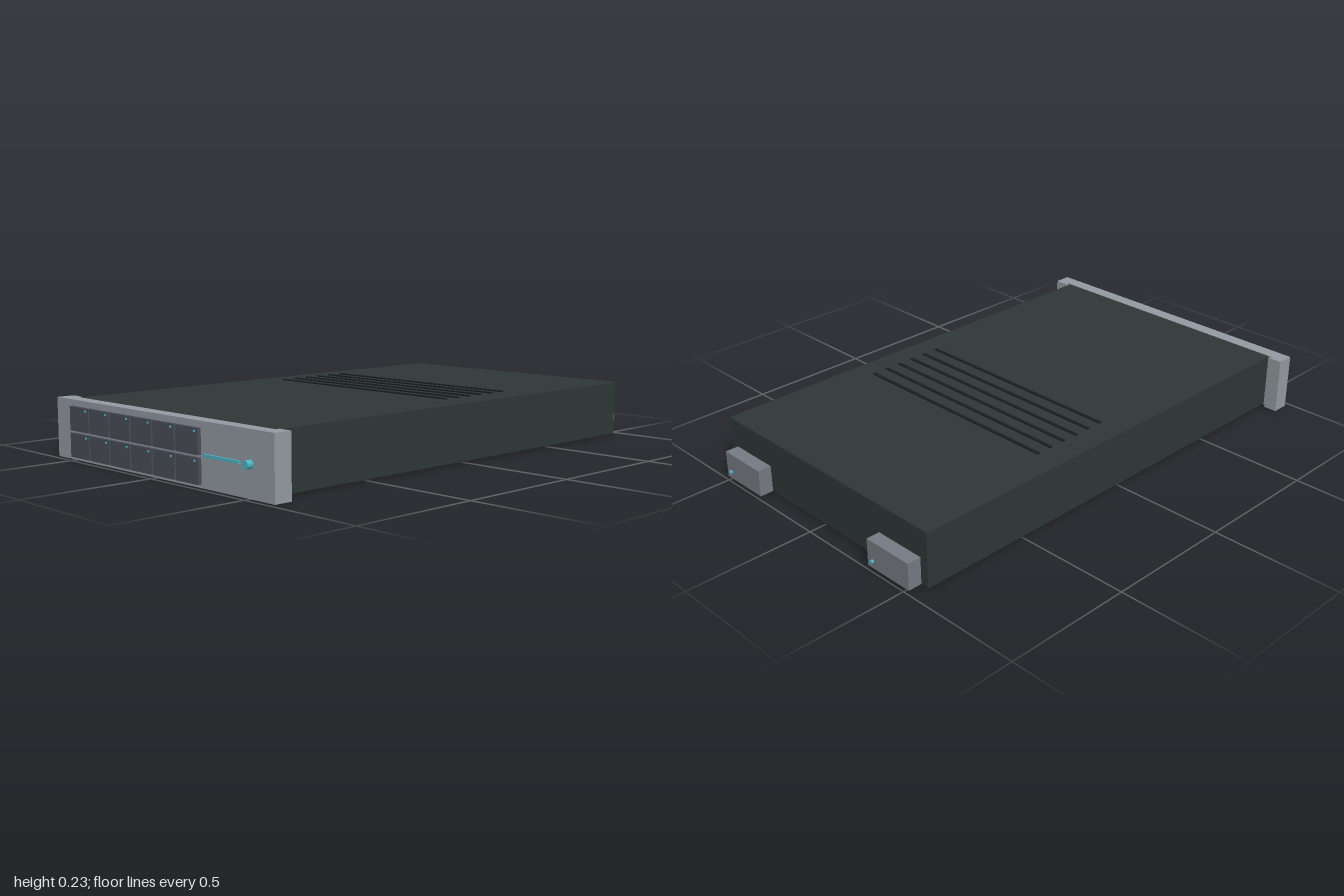
import * as THREE from 'three';
import { RoundedBoxGeometry } from 'three/addons/geometries/RoundedBoxGeometry.js';

const mat = (name, color) => {
  const m = new THREE.MeshStandardMaterial({ color });
  m.name = name;
  return m;
};

export function createModel() {
  const model = new THREE.Group();
  model.name = 'rackServer';

  const caseGreen = mat('dark case', 0x2e3736);
  const panelGrey = mat('panel grey', 0x929aa1);
  const bayGrey = mat('bay grey', 0x4a4d57);
  const supplyGrey = mat('supply grey', 0x757b82);
  const slotBlack = mat('slot black', 0x1b2020);
  const lightTeal = mat('light teal', 0x4fb3c2);

  const add = (name, geometry, material, x, y, z, parent = model) => {
    const mesh = new THREE.Mesh(geometry, material);
    mesh.name = name;
    mesh.position.set(x, y, z);
    parent.add(mesh);
    return mesh;
  };
  const box = (w, h, d) => new THREE.BoxGeometry(w, h, d);
  const group = (name) => {
    const g = new THREE.Group();
    g.name = name;
    model.add(g);
    return g;
  };

  // Chassis with a fine edge bevel
  add('chassis', new RoundedBoxGeometry(1.106, 0.22, 1.861, 1, 0.005), caseGreen, 0, 0.114, -0.0065);

  // Low ribs across the lid
  const vents = group('lidVents');
  for (let i = 0; i < 6; i++) {
    add('ventRib', box(0.908, 0.008, 0.012), slotBlack, 0, 0.225, -0.065 * i, vents);
  }

  // Front panel and its returned ears
  add('frontPanel', box(1.24, 0.224, 0.053), panelGrey, 0, 0.112, 0.9505);
  for (const side of [-1, 1]) {
    add('rackEar', box(0.055, 0.224, 0.018), panelGrey, side * 0.5925, 0.112, 0.917);
  }

  // Two rows of six drive bays, each with a status light
  const bays = group('driveBays');
  for (let row = 0; row < 2; row++) {
    for (let col = 0; col < 6; col++) {
      const x = -0.453 + col * 0.129;
      const y = 0.057 + row * 0.099;
      add('driveBay', box(0.121, 0.09, 0.014), bayGrey, x, y, 0.984, bays);
      const light = add('bayLight', new THREE.CylinderGeometry(0.004, 0.004, 0.006, 8), lightTeal,
        x + 0.045, y + 0.034, 0.992, bays);
      light.rotation.x = Math.PI / 2;
    }
  }

  // Light bar and power button
  add('lightBar', box(0.182, 0.011, 0.008), lightTeal, 0.363, 0.112, 0.981);
  const button = add('powerButton', new THREE.CylinderGeometry(0.015, 0.015, 0.023, 16), lightTeal, 0.504, 0.112, 0.9885);
  button.rotation.x = Math.PI / 2;

  // Rear power supplies with status lights
  for (const x of [-0.413, 0.411]) {
    const supply = group('powerSupply');
    add('supplyHousing', box(0.208, 0.105, 0.056), supplyGrey, x, 0.06, -0.963, supply);
    const light = add('supplyLight', new THREE.CylinderGeometry(0.007, 0.007, 0.011, 12), lightTeal,
      x + 0.077, 0.036, -0.9945, supply);
    light.rotation.x = Math.PI / 2;
  }

  return model;
}
